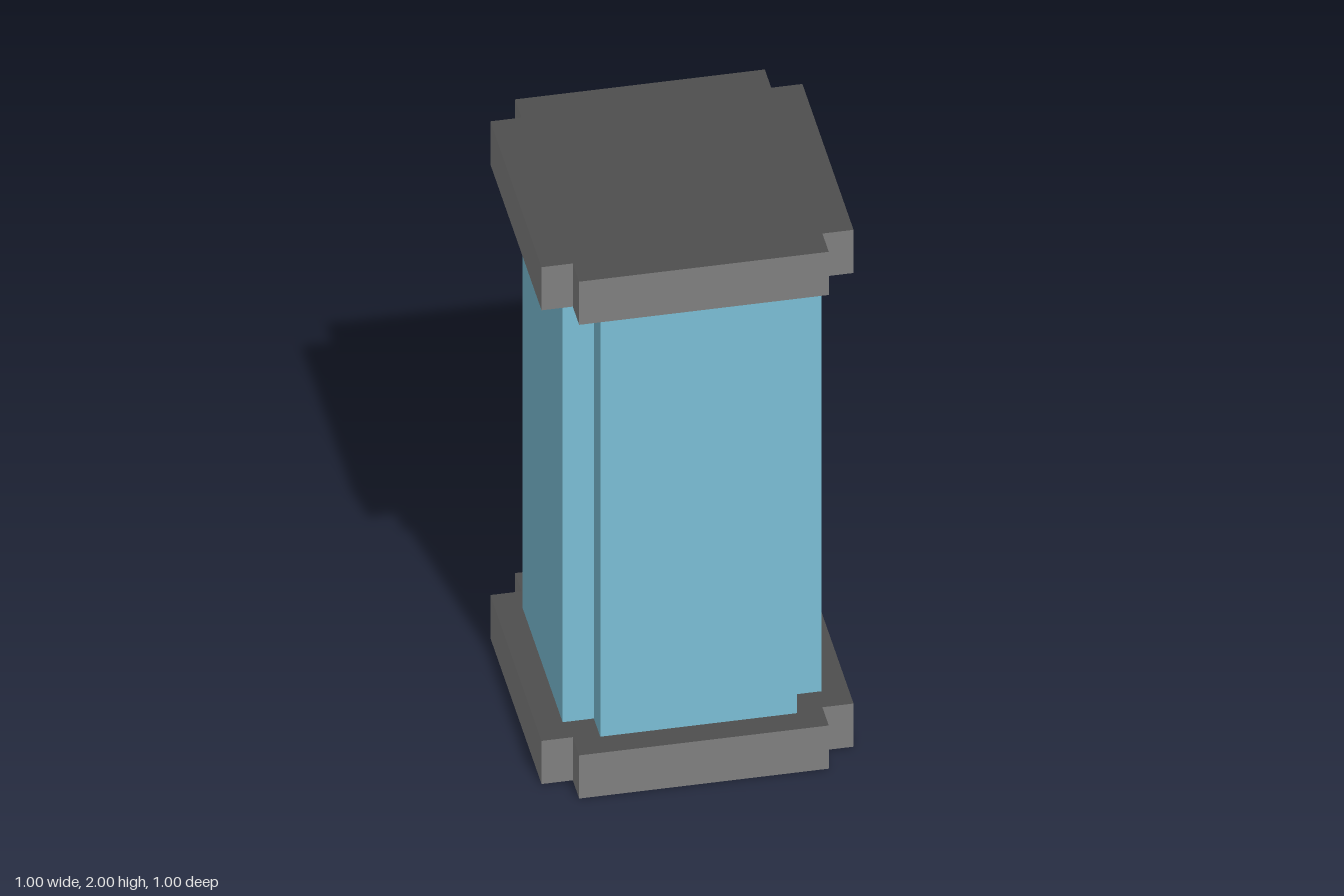
import * as THREE from 'three';

const plateSide = new THREE.MeshStandardMaterial({ color: 0x7f7f7f });
plateSide.name = 'mid grey';
const plateFace = new THREE.MeshStandardMaterial({ color: 0x4e4e4e });
plateFace.name = 'dark grey';
const columnBlue = new THREE.MeshStandardMaterial({ color: 0x7bbed5 });
columnBlue.name = 'light blue';

// Square prism with a square notch cut from each corner, standing on y = 0
function notchedPrism(half, notch, height) {
  const n = half - notch;
  const outline = [];
  // one notched corner, turned through four quarters
  for (let i = 0, c = 1, s = 0; i < 4; i++, [c, s] = [-s, c]) {
    for (const [x, y] of [[half, n], [n, n], [n, half]]) {
      outline.push(new THREE.Vector2(x * c - y * s, x * s + y * c));
    }
  }
  const geometry = new THREE.ExtrudeGeometry(new THREE.Shape(outline), { depth: height, bevelEnabled: false });
  return geometry.rotateX(-Math.PI / 2);
}

export function createModel() {
  const group = new THREE.Group();
  group.name = 'column';

  const add = (name, geometry, materials, y) => {
    const mesh = new THREE.Mesh(geometry, materials);
    mesh.name = name;
    mesh.position.y = y;
    group.add(mesh);
  };

  // Matching plates: dark flat faces, lighter edges
  const plateHeight = 0.167;
  const plate = notchedPrism(0.5, 0.1, plateHeight);
  add('basePlate', plate, [plateFace, plateSide], 0);
  add('topPlate', plate, [plateFace, plateSide], 2 - plateHeight);

  // Blue shaft between the plates
  add('shaft', notchedPrism(0.415, 0.1, 2 - 2 * plateHeight), columnBlue, plateHeight);

  return group;
}
